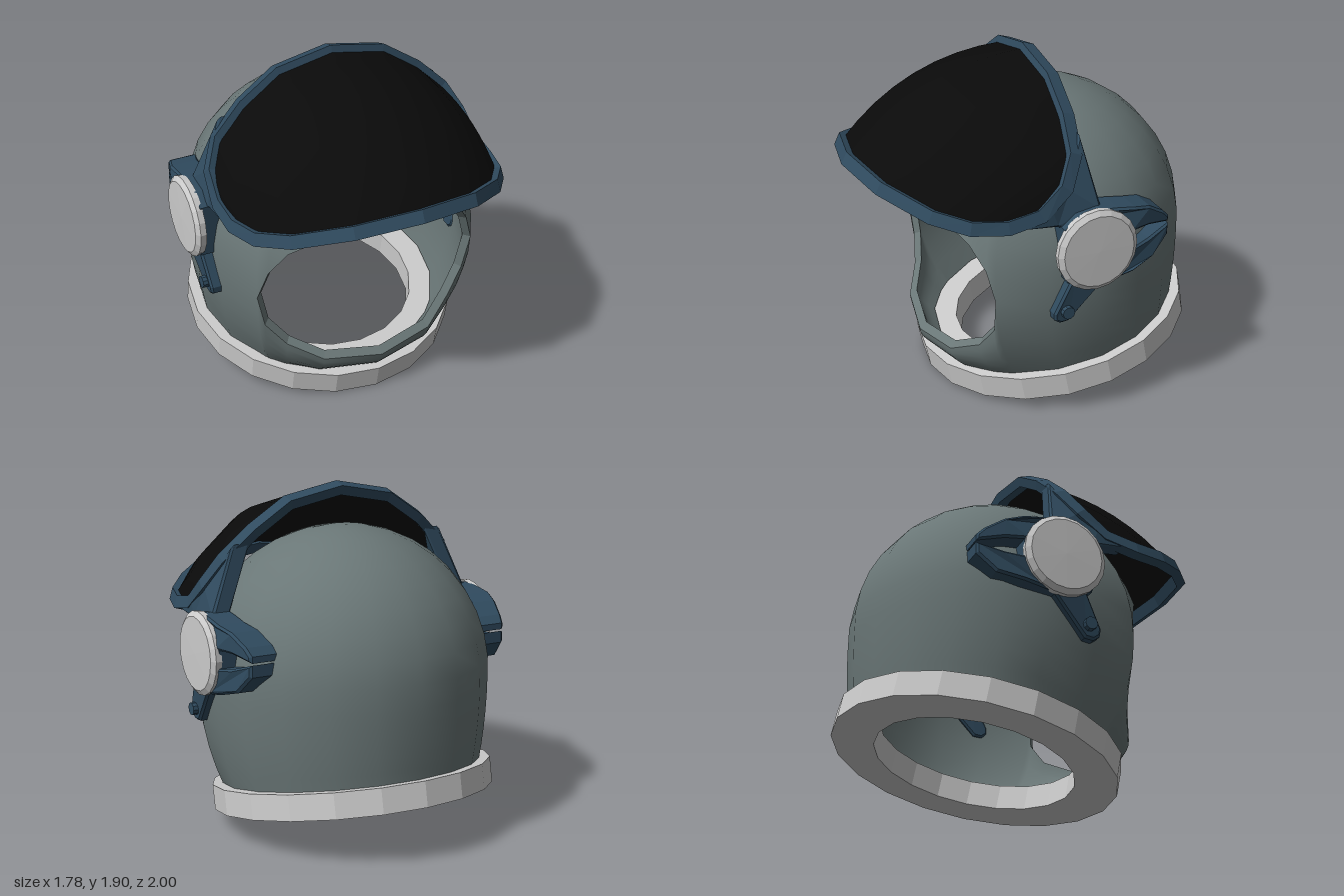
import * as THREE from 'three';
import { mergeVertices } from 'three/addons/utils/BufferGeometryUtils.js';

const V = (x, y, z) => new THREE.Vector3(x, y, z);
const mat = (color, opts = {}) => new THREE.MeshStandardMaterial({ color, ...opts });
const grey = mat(0xcccccc, { flatShading: true });
const shellMat = mat(0x6a7777);
const rimMat = mat(0x6a7777, { flatShading: true, side: THREE.DoubleSide });
const blue = mat(0x304b5f, { flatShading: true });
const black = mat(0x0a0a0a, { side: THREE.DoubleSide });

function mesh(name, geometry, material) {
  const m = new THREE.Mesh(geometry, material);
  m.name = name;
  return m;
}

// Surface through several grids of points (rows of Vector3)
function surface(...grids) {
  const pos = [], index = [];
  for (const rows of grids) {
    const base = pos.length / 3, n = rows[0].length;
    rows.forEach(row => row.forEach(p => pos.push(p.x, p.y, p.z)));
    for (let r = 0; r < rows.length - 1; r++)
      for (let c = 0; c < n - 1; c++) {
        const a = base + r * n + c, b = a + n;
        index.push(a, b, b + 1, a, b + 1, a + 1);
      }
  }
  let g = new THREE.BufferGeometry();
  g.setAttribute('position', new THREE.Float32BufferAttribute(pos, 3));
  g.setIndex(index);
  g = mergeVertices(g, 1e-4);
  g.computeVertexNormals();
  return g;
}

// Half list (first and last on the centre plane) -> full loop
const mirrorLoop = half => [...half, ...half.slice(1, -1).reverse().map(p => V(-p.x, p.y, p.z))];
const close = list => [...list, list[0]];

// Baked copy on the other side
function mirrored(geometry) {
  const g = geometry.index ? geometry.toNonIndexed() : geometry.clone();
  g.scale(-1, 1, 1);
  const p = g.attributes.position;
  for (let i = 0; i < p.count; i += 3) {
    const a = V().fromBufferAttribute(p, i + 1), b = V().fromBufferAttribute(p, i + 2);
    p.setXYZ(i + 1, b.x, b.y, b.z);
    p.setXYZ(i + 2, a.x, a.y, a.z);
  }
  g.computeVertexNormals();
  return g;
}

// Side plate: outline in (z, y), thickness from x0 to x1, optional inward bend
function plate(outline, x0, x1, bend = () => 0) {
  const shape = new THREE.Shape(outline.map(([z, y]) => new THREE.Vector2(-z, y)));
  const b = 0.012;
  const g = new THREE.ExtrudeGeometry(shape, {
    depth: x1 - x0 - b, bevelEnabled: true, bevelThickness: b, bevelSize: b, bevelOffset: -b, bevelSegments: 1,
  });
  g.rotateY(Math.PI / 2).translate(x0, 0, 0);
  const p = g.attributes.position;
  for (let i = 0; i < p.count; i++) p.setX(i, p.getX(i) - bend(p.getY(i), p.getZ(i)));
  g.computeVertexNormals();
  return g;
}

const TILT = 0.2, NECK = V(0, 0.225, -0.215);
const CENTRE = V(0, 0.88, -0.14), R = 0.79;

function buildShell() {
  const group = new THREE.Group();
  group.name = 'shell';
  // Upper and lower edges of the face opening, from the middle to the corner
  const hi = [V(0, 1.19, 0.65), V(0.33, 1.14, 0.6), V(0.52, 1.03, 0.5), V(0.61, 0.9, 0.44), V(0.665, 0.74, 0.41)];
  const lo = [V(0, 0.26, 0.6), V(0.33, 0.3, 0.54), V(0.51, 0.4, 0.44), V(0.62, 0.54, 0.4), hi[4]];
  // Widest line round the sides and back
  const back = [70, 90, 108, 126, 144, 162, 180].map((deg, i) => {
    const a = THREE.MathUtils.degToRad(deg), r = i === 0 ? 0.815 : R;
    return V(i === 6 ? 0 : r * Math.sin(a), i === 0 ? 0.77 : 0.82, CENTRE.z + r * Math.cos(a));
  });
  const top = close(mirrorLoop([...hi, ...back])), low = close(mirrorLoop([...lo, ...back]));

  // Dome: arcs from the crown down to the widest line
  const dome = [], skirt = [];
  for (let k = 0; k <= 10; k++) {
    const s = k / 10;
    dome.push(top.map(p => {
      const v = p.clone().sub(CENTRE), len = v.length();
      const polar = Math.acos(v.y / len) * s, az = Math.atan2(v.x, v.z);
      return V().setFromSphericalCoords(R + (len - R) * s * s, polar, az).add(CENTRE);
    }));
  }
  // Skirt: curves from the widest line down to the neck ring
  for (let k = 0; k <= 5; k++) {
    skirt.push(low.map(p => {
      const az = Math.atan2(p.x, p.z - CENTRE.z);
      const foot = V(0.72 * Math.sin(az), 0.05, 0.72 * Math.cos(az)).applyAxisAngle(V(1, 0, 0), TILT).add(NECK);
      const control = V(p.x, (p.y + foot.y) / 2, p.z);
      return new THREE.QuadraticBezierCurve3(p, control, foot).getPoint(k / 5);
    }));
  }
  const inward = p => p.clone().sub(CENTRE).multiplyScalar(0.945).add(CENTRE);
  group.add(mesh('outerShell', surface(dome, skirt), shellMat));
  const lining = surface(dome.map(r => r.map(inward)), skirt.map(r => r.map(inward)));
  lining.setIndex([...lining.index.array].reverse());
  lining.computeVertexNormals();
  group.add(mesh('lining', lining, shellMat));

  const edge = close(mirrorLoop([...hi, ...lo.slice(0, 4).reverse()]));
  group.add(mesh('openingRim', surface([edge, edge.map(inward)]), rimMat));
  return group;
}

function buildNeckRing() {
  const profile = [[0.55, -0.07], [0.785, -0.07], [0.785, 0.07], [0.55, 0.07], [0.55, -0.07]];
  const ring = mesh('neckRing', new THREE.LatheGeometry(profile.map(([x, y]) => new THREE.Vector2(x, y)), 20), grey);
  ring.rotation.x = TILT;
  ring.position.copy(NECK);
  return ring;
}

function buildVisor() {
  const group = new THREE.Group();
  group.name = 'visor';
  // Half outline, from the top of the raised visor round the side to its front tip
  const half = [
    V(0, 1.86, -0.06), V(0.31, 1.8, -0.06), V(0.52, 1.66, -0.05), V(0.68, 1.51, -0.02),
    V(0.755, 1.37, 0.06), V(0.77, 1.25, 0.2), V(0.765, 1.215, 0.38), V(0.715, 1.225, 0.56),
    V(0.59, 1.265, 0.72), V(0.34, 1.35, 0.9), V(0, 1.385, 0.965),
  ];
  // Glass: bowed strips from the top edge to the front edge
  const rows = [];
  for (let i = 5; i >= -5; i--) {
    const k = Math.abs(i), side = V(i < 0 ? -1 : 1, 1, 1);
    const a = half[k].clone().multiply(side), b = half[10 - k].clone().multiply(side);
    const out = V(a.x * 0.6, 0.9, 0.42).normalize();
    const bow = 0.13 * (a.distanceTo(b) / 1.14) ** 2;
    rows.push(Array.from({ length: 9 }, (_, j) => {
      const t = j / 8;
      return a.clone().lerp(b, t).addScaledVector(out, 4 * t * (1 - t) * bow);
    }));
  }
  group.add(mesh('visorGlass', surface(rows), black));

  // Frame: rectangular section swept along the outline
  const loop = mirrorLoop(half), n = loop.length;
  const sections = loop.map((p, i) => {
    const t = loop[(i + 1) % n].clone().sub(loop[(i + n - 1) % n]).normalize();
    const out = p.clone().sub(V(0, 1, 0.2));
    out.addScaledVector(t, -out.dot(t)).normalize();
    const e = t.clone().cross(out);
    return close([[1, 1], [-1, 1], [-1, -1], [1, -1]].map(([u, w]) =>
      p.clone().addScaledVector(e, u * 0.036).addScaledVector(out, w * 0.028)));
  });
  group.add(mesh('visorFrame', surface(close(sections)), blue));
  return group;
}

function buildHinges() {
  const group = new THREE.Group();
  group.name = 'hinges';
  const add = (name, g, material) => {
    group.add(mesh(name + 'Left', g, material), mesh(name + 'Right', mirrored(g), material));
  };
  // Round base with two prongs hugging the shell
  add('hingeBracket', plate([
    [0.1, 1.18], [0.02, 1.24], [-0.1, 1.26], [-0.2, 1.25], [-0.3, 1.235], [-0.4, 1.21], [-0.5, 1.15], [-0.54, 1.11],
    [-0.54, 1.075], [-0.4, 1.1], [-0.3, 1.1], [-0.3, 1.0], [-0.4, 1.02], [-0.54, 1.065],
    [-0.54, 1.0], [-0.44, 0.9], [-0.3, 0.86], [-0.2, 0.84], [-0.1, 0.82], [0.08, 0.87],
  ], 0.7, 0.855, (y, z) => Math.max(0, -0.3 - z) * 0.3), blue);
  // Arm up to the visor frame
  add('visorArm', plate([
    [-0.07, 1.6], [-0.13, 1.24], [0, 1.13], [0.12, 1.18], [0.3, 1.2], [0.15, 1.27], [0.05, 1.37], [0, 1.47],
  ], 0.71, 0.8, y => Math.max(0, y - 1.3) * 0.5), blue);
  // Arm down to the bolt
  add('lowerArm', plate([
    [0.04, 0.9], [0.14, 0.68], [0.135, 0.64], [0.1, 0.615], [0.05, 0.62], [-0.14, 0.84],
  ], 0.74, 0.84, y => Math.max(0, 0.8 - y) * 0.15), blue);
  // Bracket lug showing on the inside
  add('innerLug', plate([[-0.36, 1.02], [-0.48, 1.02], [-0.46, 0.86], [-0.4, 0.86]], 0.51, 0.68), blue);

  const turned = (g, x, y, z) => g.rotateZ(-Math.PI / 2).translate(x, y, z);
  add('bolt', turned(new THREE.CylinderGeometry(0.035, 0.035, 0.07, 10), 0.815, 0.69, 0.07), blue);
  const cap = [[0, 0], [0.225, 0], [0.228, 0.035], [0.2, 0.055], [0, 0.058]].map(([x, y]) => new THREE.Vector2(x, y));
  add('hingeCap', turned(new THREE.LatheGeometry(cap, 20), 0.83, 1.04, -0.08), grey);
  return group;
}

export function createModel() {
  const model = new THREE.Group();
  model.name = 'helmet';
  model.add(buildShell(), buildNeckRing(), buildVisor(), buildHinges());
  return model;
}
